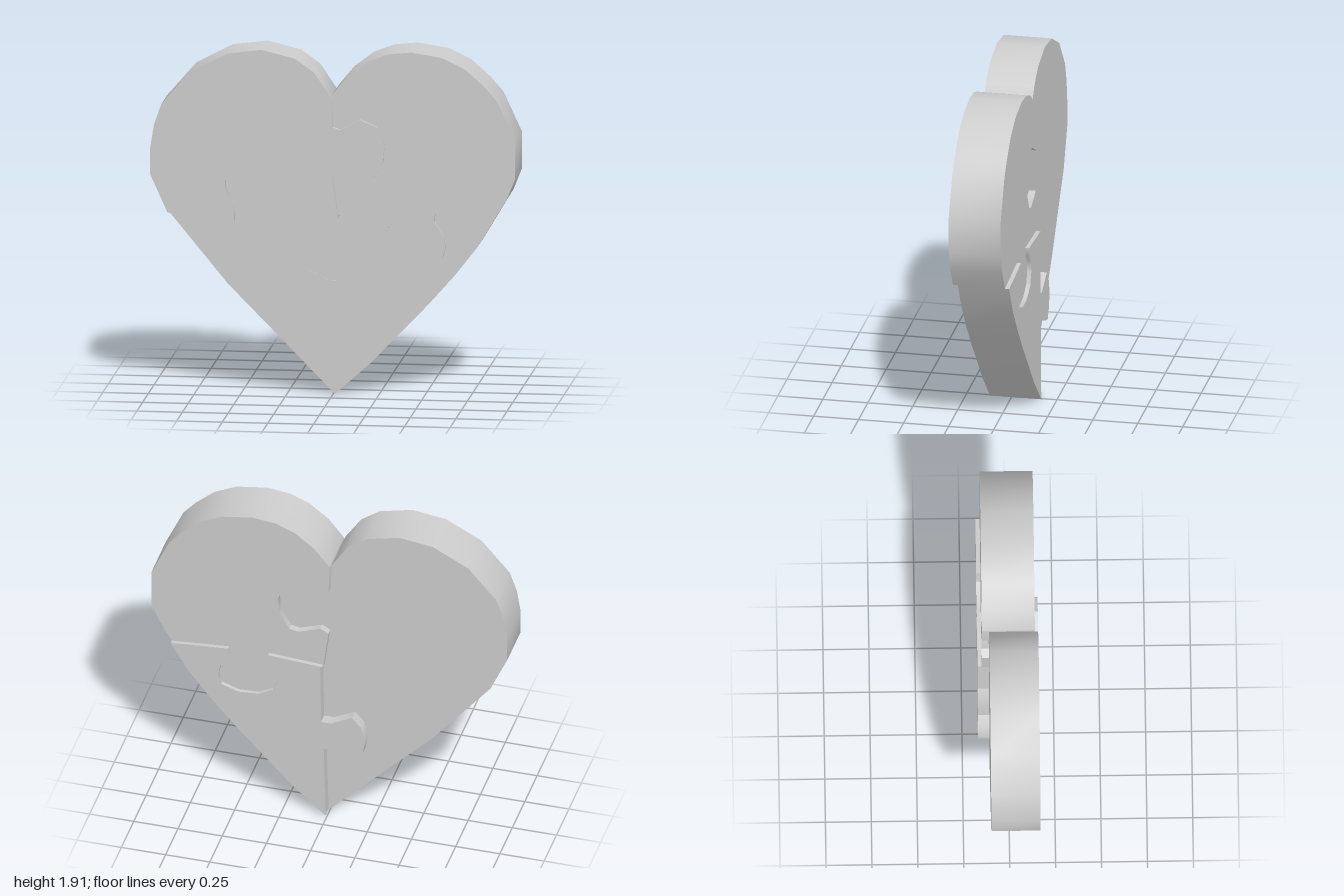
import * as THREE from 'three';
import { toCreasedNormals } from 'three/addons/utils/BufferGeometryUtils.js';

// Outer contour runs, one per quarter
const upperRightEdge = [
  [-0.01, 1.65], [-0.1, 1.785], [-0.205, 1.86], [-0.39, 1.905], [-0.58, 1.88], [-0.78, 1.775],
  [-0.94, 1.59], [-0.98, 1.475], [-1, 1.35], [-1, 1.2], [-0.905, 0.99],
];
const upperLeftEdge = [
  [-0.005, 1.66], [0.08, 1.765], [0.19, 1.85], [0.3, 1.893], [0.43, 1.907], [0.6, 1.88], [0.725, 1.82],
  [0.83, 1.727], [0.9, 1.647], [1, 1.43], [1, 1.22], [0.955, 1.107], [0.885, 0.99],
];
const lowerLeftEdge = [[0.885, 0.99], [0.79, 0.83], [0.665, 0.67], [0.515, 0.5], [0.2, 0.17], [0.01, 0]];
const lowerRightEdge = [[0.005, 0], [-0.58, 0.595], [-0.905, 0.99]];

// Interlocking seams, each with one knob
const rightSeam = [ // from the outer edge to the middle
  [-0.905, 0.99], [-0.54, 0.953], [-0.545, 1.053], [-0.59, 1.13], [-0.59, 1.17], [-0.54, 1.225],
  [-0.445, 1.25], [-0.355, 1.23], [-0.31, 1.175], [-0.315, 1.13], [-0.355, 1.053], [-0.355, 0.955], [0.03, 0.98],
];
const topSeam = [ // from the middle up to the notch
  [0.03, 0.98], [0, 1.21], [0.045, 1.235], [0.17, 1.19], [0.22, 1.2], [0.275, 1.29], [0.285, 1.39],
  [0.245, 1.49], [0.15, 1.53], [0.04, 1.47], [0, 1.485], [-0.007, 1.65],
];
const leftSeam = [ // from the outer edge to the middle
  [0.885, 0.99], [0.56, 1.015], [0.555, 0.97], [0.605, 0.893], [0.617, 0.83], [0.6, 0.77], [0.505, 0.737],
  [0.393, 0.743], [0.31, 0.786], [0.28, 0.856], [0.29, 0.914], [0.33, 0.963], [0.335, 1.015], [0.03, 0.995],
];
const bottomSeam = [ // from the middle down to the tip
  [0.04, 0.985], [0.035, 0.625], [-0.02, 0.625], [-0.14, 0.685], [-0.19, 0.63], [-0.215, 0.545],
  [-0.2, 0.46], [-0.165, 0.4], [-0.105, 0.417], [-0.02, 0.45], [0.02, 0.445], [0.01, 0],
];
const flip = (run) => [...run].reverse();

export function createModel() {
  const group = new THREE.Group();
  group.name = 'puzzleHeart';
  const grey = new THREE.MeshStandardMaterial({ color: 0xcccccc });
  grey.name = 'lightGrey';

  // Joins runs into a closed outline and extrudes it between two depths
  function addPiece(name, runs, back, front) {
    const points = [];
    for (const [x, y] of runs.flat()) {
      const p = new THREE.Vector2(x, y);
      if (!points.some((q) => q.distanceTo(p) < 0.004)) points.push(p);
    }
    const geometry = new THREE.ExtrudeGeometry(new THREE.Shape(points), {
      depth: front - back, bevelEnabled: false,
    });
    geometry.translate(0, 0, back);
    const mesh = new THREE.Mesh(toCreasedNormals(geometry, 0.6), grey);
    mesh.name = name;
    group.add(mesh);
  }

  // Four quarters, slid slightly out of line in depth
  addPiece('upperRightPiece', [upperRightEdge, rightSeam, topSeam], -0.103, 0.165);
  addPiece('upperLeftPiece', [upperLeftEdge, leftSeam, topSeam], -0.142, 0.147);
  addPiece('lowerLeftPiece', [lowerLeftEdge, flip(bottomSeam), flip(leftSeam)], -0.165, 0.12);
  addPiece('lowerRightPiece', [lowerRightEdge, rightSeam, bottomSeam], -0.103, 0.117);
  return group;
}
